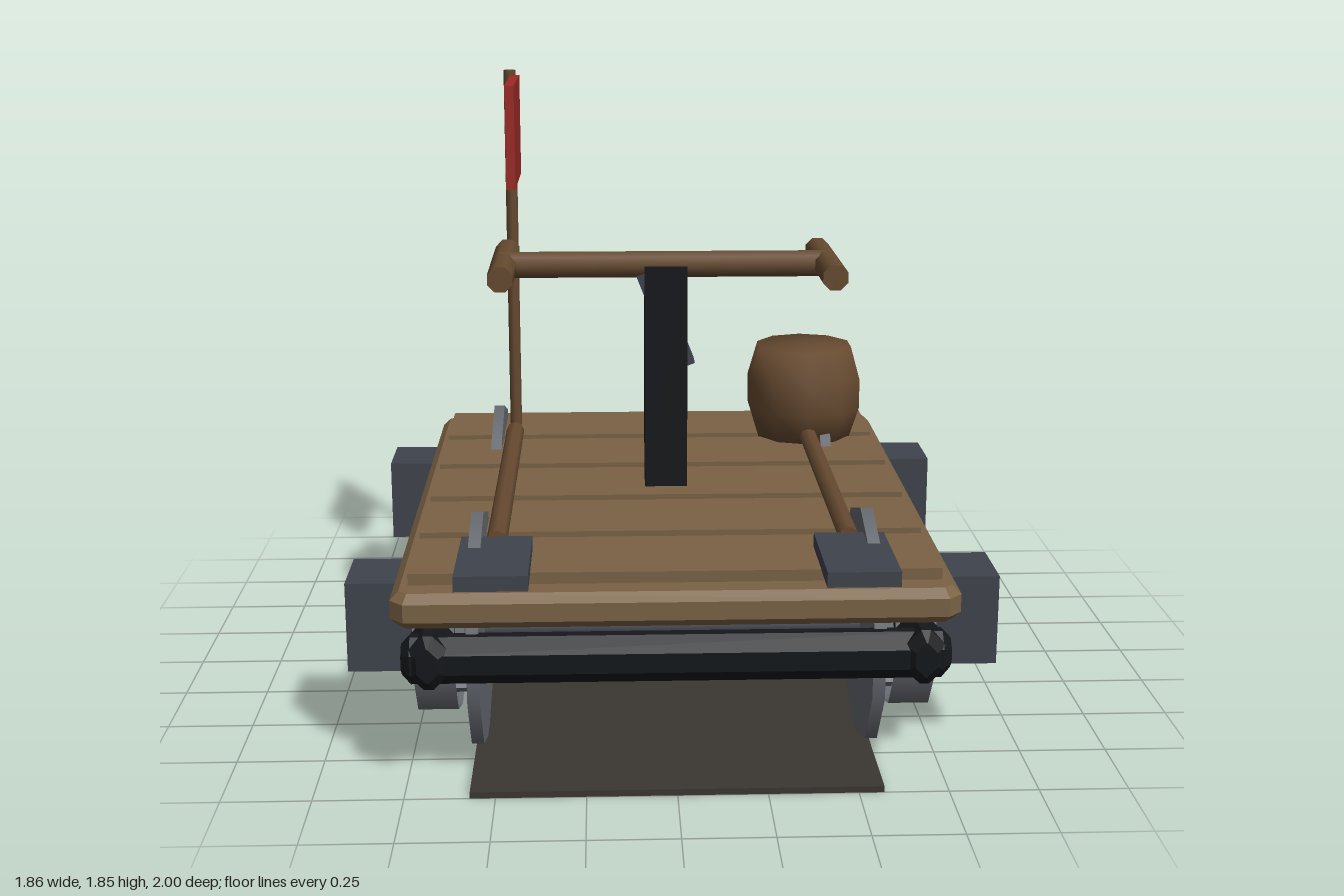
import * as THREE from 'three';

const mat = (color, extra = {}) => new THREE.MeshStandardMaterial({ color, ...extra });
const WOOD = mat(0x7a6244), DARK_WOOD = mat(0x664a30), BLACK = mat(0x14171a);
const STEEL = mat(0x666a70), STEEL_OPEN = mat(0x666a70, { side: THREE.DoubleSide });
const IRON = mat(0x3f434c), RED = mat(0x9c2a25), GROUND = mat(0x3b3732);

function add(parent, name, geometry, material, x = 0, y = 0, z = 0) {
  const mesh = new THREE.Mesh(geometry, material);
  mesh.name = name;
  mesh.position.set(x, y, z);
  parent.add(mesh);
  return mesh;
}

const box = (w, h, d) => new THREE.BoxGeometry(w, h, d);
const rodX = (r, len, sides = 8) => new THREE.CylinderGeometry(r, r, len, sides).rotateZ(Math.PI / 2);
const rodZ = (r, len, sides = 8) => new THREE.CylinderGeometry(r, r, len, sides).rotateX(Math.PI / 2);

// Box with all edges chamfered by c; w and h span the cross-section, d runs along z
function chamferBox(w, h, d, c) {
  const a = w / 2 - c, b = h / 2 - c;
  const shape = new THREE.Shape([
    [a, -b + c], [a, b - c], [a - c, b], [-a + c, b],
    [-a, b - c], [-a, -b + c], [-a + c, -b], [a - c, -b],
  ].map(([x, y]) => new THREE.Vector2(x, y)));
  return new THREE.ExtrudeGeometry(shape, {
    depth: d - 2 * c, bevelEnabled: true, bevelThickness: c, bevelSize: c, bevelSegments: 1,
  }).translate(0, 0, -d / 2 + c);
}

// Spoked wheel with a ten-sided flange on its inner side
function makeWheel(side) {
  const wheel = new THREE.Group();
  wheel.name = 'wheel';
  const flange = new THREE.CylinderGeometry(0.345, 0.345, 0.035, 10)
    .rotateY(Math.PI / 10).rotateZ(Math.PI / 2);
  add(wheel, 'flange', flange, STEEL, side * 0.558);
  const tread = new THREE.CylinderGeometry(0.245, 0.245, 0.115, 10, 1, true)
    .rotateY(Math.PI / 10).rotateZ(Math.PI / 2);
  add(wheel, 'tread', tread, STEEL_OPEN, side * 0.672);
  add(wheel, 'hub', rodX(0.06, 0.17, 10), IRON, side * 0.65);
  for (let i = 0; i < 10; i++) {
    const spoke = box(0.04, 0.15, 0.05).translate(0, -0.115, 0).rotateX(i * Math.PI / 5);
    add(wheel, 'spoke', spoke, STEEL, side * 0.61);
  }
  return wheel;
}

export function createModel() {
  const cart = new THREE.Group();
  cart.name = 'railHandcar';

  // Track bed
  add(cart, 'trackBed', box(1.14, 0.018, 2), GROUND, 0, 0.009, 0);

  // Deck and planks
  add(cart, 'deck', chamferBox(1.56, 1.9, 0.1, 0.024).rotateX(Math.PI / 2), WOOD, 0, 0.518, 0);
  for (let i = -2; i <= 2; i++) {
    add(cart, 'plank', box(1.47, 0.035, 0.303), WOOD, 0, 0.583, i * 0.354);
  }

  // Frame beams
  for (const s of [-1, 1]) {
    add(cart, 'sideBeam', chamferBox(0.115, 0.155, 2, 0.028), BLACK, s * 0.675, 0.386, 0);
    add(cart, 'endBeam', chamferBox(0.11, 0.135, 1.5, 0.025).rotateY(Math.PI / 2), BLACK, 0, 0.383, s * 0.932);
  }

  // Axles, wheels and axle boxes
  for (const z of [-0.6, 0.6]) {
    add(cart, 'axle', rodX(0.06, 1.14, 10), IRON, 0, 0.35, z);
    for (const s of [-1, 1]) {
      const wheel = makeWheel(s);
      wheel.position.set(0, 0.35, z);
      cart.add(wheel);
      add(cart, 'axleBox', box(0.2, 0.265, 0.21), IRON, s * 0.83, 0.386, z);
    }
  }

  // Pump post with its slanted lever
  add(cart, 'post', box(0.132, 0.72, 0.132), BLACK, 0, 0.94, 0);
  const lever = add(cart, 'lever', box(0.07, 0.32, 0.08), IRON, 0, 1.13, 0);
  lever.rotation.z = 0.37;

  // Pump handle
  add(cart, 'crossBar', rodX(0.041, 1.03), DARK_WOOD, 0, 1.3, 0);

  // Hand grips, push rods and pedals
  for (const s of [-1, 1]) {
    add(cart, 'grip', rodZ(0.041, 0.5).rotateZ(Math.PI / 8), DARK_WOOD, s * 0.5, 1.3, 0);
    add(cart, 'pushRod', rodZ(0.03, 1.18), DARK_WOOD, s * 0.5, 0.63, 0.08);
    add(cart, 'pedal', box(0.2, 0.043, 0.335), IRON, s * 0.5, 0.62, 0.832);
  }

  // Flag
  add(cart, 'flagPole', new THREE.CylinderGeometry(0.02, 0.02, 1.255, 8), DARK_WOOD, -0.504, 1.22, -0.663);
  add(cart, 'flag', box(0.03, 0.33, 0.43), RED, -0.486, 1.665, -0.45);

  // Barrel
  const profile = [[0, 0.59], [0.163, 0.59], [0.198, 0.7], [0.198, 0.8], [0.165, 0.915], [0, 0.915]]
    .map(([r, y]) => new THREE.Vector2(r, y));
  add(cart, 'barrel', new THREE.LatheGeometry(profile, 10), DARK_WOOD, 0.498, 0, -0.568);

  return cart;
}
